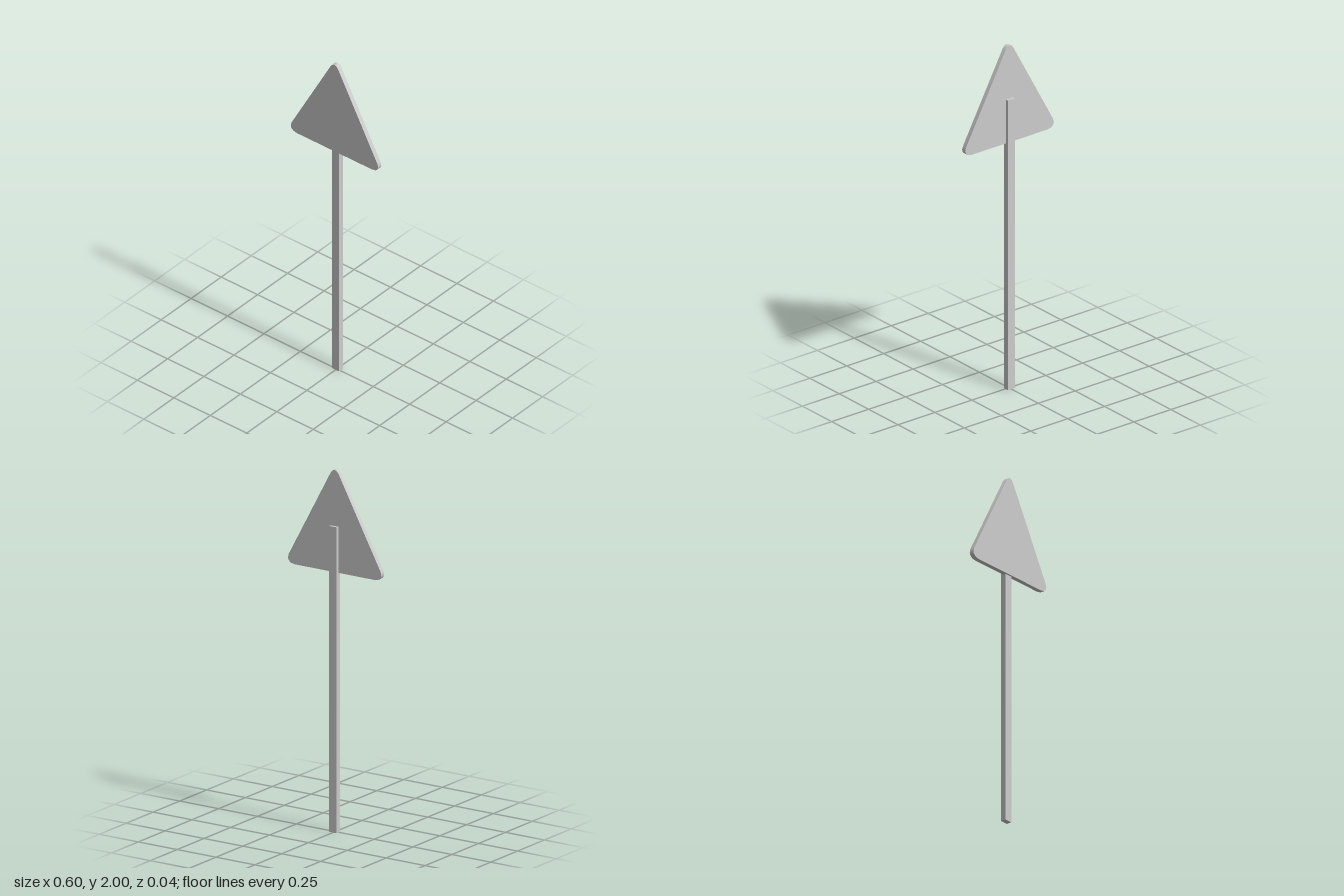
import * as THREE from 'three';
import { toCreasedNormals } from 'three/addons/utils/BufferGeometryUtils.js';

export function createModel() {
  const model = new THREE.Group();
  model.name = 'roadSign';

  const grey = new THREE.MeshStandardMaterial({ color: 0xcccccc });
  grey.name = 'light grey';

  // Triangular plate with softened corners: right half of the outline, mirrored
  const half = [
    [0.255, 1.435], [0.282, 1.44], [0.297, 1.454], [0.3, 1.468], [0.295, 1.487],
    [0.026, 1.98], [0.015, 1.994],
  ];
  const outline = [...half, [0, 2], ...half.map(([x, y]) => [-x, y]).reverse()];
  const shape = new THREE.Shape(outline.map(([x, y]) => new THREE.Vector2(x, y)));
  const plateGeometry = new THREE.ExtrudeGeometry(shape, { depth: 0.026, bevelEnabled: false });
  plateGeometry.translate(0, 0, -0.006);
  const plate = new THREE.Mesh(toCreasedNormals(plateGeometry, Math.PI / 3), grey);
  plate.name = 'signPlate';
  model.add(plate);

  // Flat rectangular post, set into the back of the plate
  const height = 1.69;
  const post = new THREE.Mesh(new THREE.BoxGeometry(0.048, height, 0.031), grey);
  post.name = 'post';
  post.position.set(0, height / 2, -0.006);
  model.add(post);

  return model;
}
